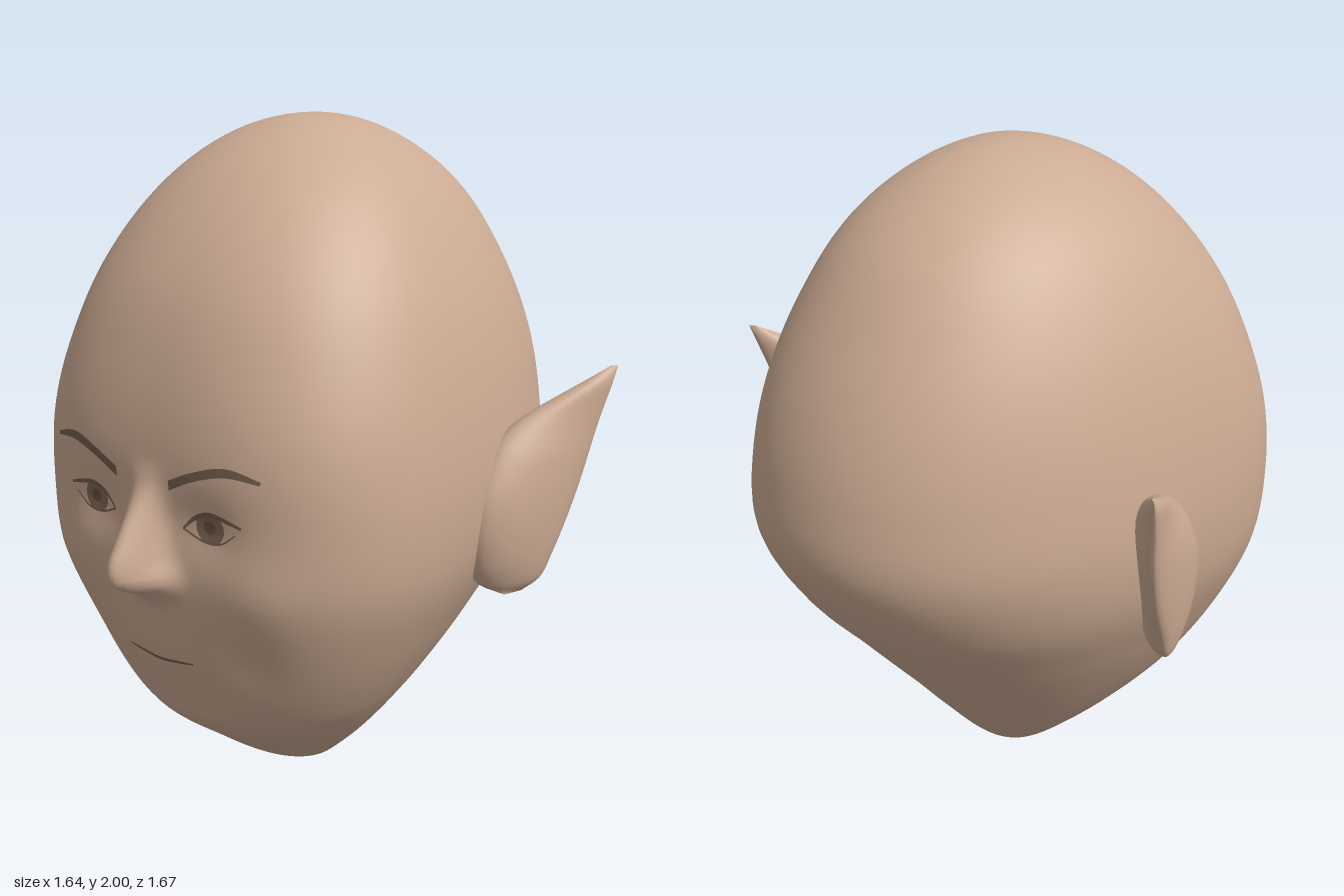
import * as THREE from 'three';
import { mergeVertices } from 'three/addons/utils/BufferGeometryUtils.js';

// Smooth interpolation of one column of a table sorted by its first column
function sample(rows, x, col) {
  const last = rows.length - 1;
  if (x <= rows[0][0]) return rows[0][col];
  if (x >= rows[last][0]) return rows[last][col];
  let i = 0;
  while (x > rows[i + 1][0]) i++;
  const slope = k => {
    const a = rows[Math.max(k - 1, 0)], b = rows[Math.min(k + 1, last)];
    return (b[col] - a[col]) / (b[0] - a[0]);
  };
  const h = rows[i + 1][0] - rows[i][0], t = (x - rows[i][0]) / h, t2 = t * t, t3 = t2 * t;
  return (2 * t3 - 3 * t2 + 1) * rows[i][col] + (t3 - 2 * t2 + t) * h * slope(i)
    + (3 * t2 - 2 * t3) * rows[i + 1][col] + (t3 - t2) * h * slope(i + 1);
}

// Skin a grid of points: rows run top to bottom, columns run counterclockwise
function loft(rows, cols, closed, point, flip = false) {
  const pos = [], idx = [], n = closed ? cols : cols + 1;
  for (let i = 0; i <= rows; i++)
    for (let j = 0; j < n; j++) pos.push(...point(i / rows, j / cols));
  for (let i = 0; i < rows; i++) {
    for (let j = 0; j < cols; j++) {
      const k = (j + 1) % n;
      const a = i * n + j, b = i * n + k, c = a + n, d = b + n;
      idx.push(...(flip ? [a, b, c, b, d, c] : [a, c, b, b, c, d]));
    }
  }
  let g = new THREE.BufferGeometry();
  g.setAttribute('position', new THREE.Float32BufferAttribute(pos, 3));
  g.setIndex(idx);
  g = mergeVertices(g, 1e-5);
  g.computeVertexNormals();
  return g;
}

// Head outline: height, half width, front z, back z, squareness of the face
const arc = y => Math.acos(1 - y);
const HEAD = [
  [0, 0, 0.02, 0.02, 2], [0.03, 0.095, 0.125, -0.085, 2], [0.1, 0.178, 0.25, -0.17, 2.05],
  [0.2, 0.275, 0.385, -0.255, 2.1], [0.3, 0.358, 0.505, -0.335, 2.15], [0.4, 0.43, 0.58, -0.413, 2.25],
  [0.6, 0.543, 0.655, -0.575, 2.45], [0.8, 0.624, 0.687, -0.735, 2.7], [1, 0.648, 0.688, -0.834, 2.85],
  [1.2, 0.634, 0.685, -0.826, 2.75], [1.4, 0.594, 0.645, -0.768, 2.5], [1.6, 0.52, 0.565, -0.662, 2.3],
  [1.8, 0.394, 0.413, -0.505, 2.15], [1.95, 0.205, 0.2, -0.268, 2.05], [2, 0, -0.03, -0.03, 2],
].map(r => [arc(r[0]), ...r.slice(1)]);

function ring(y) {
  const a = arc(y), [w, front, back, n] = [1, 2, 3, 4].map(c => sample(HEAD, a, c));
  const zc = back + (front - back) * 0.6;
  return { w, front, back, n, zc };
}

// Nose ridge: height, projection, spread
const NOSE = [[0.745, 0, 0.06], [0.79, 0.055, 0.064], [0.83, 0.13, 0.064], [0.89, 0.142, 0.058],
  [0.95, 0.11, 0.052], [1, 0.078, 0.048], [1.08, 0.022, 0.048], [1.15, 0, 0.055]];
// Soft swellings and hollows of the face: x, y, spread x, spread y, depth
const FORMS = [[0.08, 0.835, 0.035, 0.04, 0.026], [0.19, 0.99, 0.1, 0.08, -0.018],
  [0.36, 0.82, 0.12, 0.1, 0.012], [0.28, 0.6, 0.1, 0.12, -0.012],
  [0, 0.6, 0.13, 0.06, 0.006], [0, 0.35, 0.16, 0.06, 0.015]];

function relief(x, y) {
  const ax = Math.abs(x);
  let d = sample(NOSE, y, 1) * Math.exp(-((ax / sample(NOSE, y, 2)) ** 2.3));
  for (const [fx, fy, sx, sy, h] of FORMS)
    d += h * Math.exp(-(((ax - fx) / sx) ** 2) - ((y - fy) / sy) ** 2);
  return d;
}

// Depth of the face at x, y
function faceZ(x, y) {
  const r = ring(y);
  const k = Math.max(0, 1 - (Math.abs(x) / r.w) ** r.n) ** (1 / r.n);
  return r.zc + (r.front - r.zc) * k + relief(x, y);
}

function headGeometry() {
  return loft(150, 150, true, (v, u) => {
    const y = 1 + Math.cos(Math.PI * v), r = ring(y);
    const t = (u * 2 - 1) * Math.PI, th = t - 0.7 * Math.sin(t); // denser at the face
    const s = Math.sin(th), c = Math.cos(th), n = c > 0 ? r.n : 2.1;
    const k = (Math.abs(s) ** n + Math.abs(c) ** n) ** (-1 / n);
    const x = r.w * s * k;
    const z = r.zc + (c > 0 ? r.front - r.zc : r.zc - r.back) * c * k;
    return [x, y, z + (c > 0 ? relief(x, y) * Math.min(1, c * 3) : 0)];
  });
}

// Pointed ear: height, root x, root z, rear edge x, rear edge z, thickness
const EAR = [[0.695, 0.67, -0.05, 0.692, -0.11, 0], [0.73, 0.61, 0, 0.722, -0.155, 0.09],
  [0.8, 0.61, 0.035, 0.738, -0.19, 0.125], [0.9, 0.62, 0.053, 0.754, -0.237, 0.135],
  [1, 0.625, 0.04, 0.768, -0.275, 0.135], [1.1, 0.63, -0.015, 0.782, -0.303, 0.125],
  [1.15, 0.635, -0.06, 0.79, -0.315, 0.11], [1.2, 0.668, -0.13, 0.8, -0.327, 0.085],
  [1.28, 0.76, -0.27, 0.815, -0.35, 0.045], [1.325, 0.805, -0.352, 0.822, -0.363, 0]];

function earGeometry(side) {
  return loft(40, 32, true, (v, u) => {
    const y = 1.01 + 0.315 * Math.cos(Math.PI * v);
    const [fx, fz, rx, rz, t] = [1, 2, 3, 4, 5].map(c => sample(EAR, y, c));
    const ax = (rx - fx) / 2, az = (rz - fz) / 2, c = Math.cos(u * Math.PI * 2);
    // Thicker towards the root, fuller on the inner side
    const sine = Math.sin(u * Math.PI * 2), full = sine > 0 ? 0.62 : 0.38;
    const s = sine * full * Math.max(0, t) * (1 - 0.2 * c) / Math.hypot(ax, az);
    return [side * ((fx + rx) / 2 + ax * c + az * s), y, (fz + rz) / 2 + az * c - ax * s];
  }, side < 0);
}

// Painted strip lying on the face: rows of x, upper y, lower y
function strip(rows, side, lift = 0.006) {
  const x0 = rows[0][0], x1 = rows[rows.length - 1][0];
  return loft(4, 28, false, (v, u) => {
    const x = x0 + (x1 - x0) * u;
    const y = THREE.MathUtils.lerp(sample(rows, x, 1), sample(rows, x, 2), v);
    return [side * x, y, faceZ(x, y) + lift];
  }, side < 0);
}

// Painted disc lying on the face, trimmed above by the eyelid
function disc(cx, cy, radius, side, lift) {
  return loft(5, 28, true, (v, u) => {
    const a = u * Math.PI * 2, x = cx + Math.cos(a) * radius * v;
    const y = Math.min(1.035, cy + Math.sin(a) * radius * v);
    return [side * x, y, faceZ(x, y) + lift];
  }, side < 0);
}

const BROW = [[0.095, 1.118, 1.09], [0.17, 1.152, 1.127], [0.25, 1.177, 1.152],
  [0.3, 1.176, 1.155], [0.365, 1.156, 1.146]];
const UPPER_LID = [[0.125, 0.992, 0.984], [0.16, 1.028, 1.014], [0.205, 1.048, 1.034],
  [0.25, 1.044, 1.031], [0.31, 1.026, 1.018]];
const LOWER_LID = [[0.125, 0.99, 0.984], [0.17, 0.97, 0.964], [0.21, 0.964, 0.958],
  [0.25, 0.973, 0.967], [0.29, 1.003, 0.999]];
const MOUTH = [[-0.118, 0.584, 0.579], [-0.06, 0.579, 0.57], [0, 0.573, 0.563],
  [0.06, 0.579, 0.57], [0.118, 0.584, 0.579]];

export function createModel() {
  const material = (name, color) => {
    const m = new THREE.MeshStandardMaterial({ color, side: THREE.DoubleSide });
    m.name = name;
    return m;
  };
  const skin = material('skin', 0xccab93);
  const hair = material('brow brown', 0x755f4e);
  const iris = material('iris brown', 0x7f6856);
  const dark = material('pupil brown', 0x6a5543);

  const model = new THREE.Group();
  model.name = 'head';
  const add = (name, geometry, mat) => {
    const mesh = new THREE.Mesh(geometry, mat);
    mesh.name = name;
    model.add(mesh);
  };

  add('skull', headGeometry(), skin);
  add('mouth', strip(MOUTH, 1), hair);
  for (const [label, side] of [['left', 1], ['right', -1]]) {
    add(label + 'Ear', earGeometry(side), skin);
    add(label + 'Brow', strip(BROW, side, 0.014), hair);
    add(label + 'UpperLid', strip(UPPER_LID, side, 0.008), hair);
    add(label + 'LowerLid', strip(LOWER_LID, side), hair);
    add(label + 'Iris', disc(0.208, 1.002, 0.045, side, 0.005), iris);
    add(label + 'Pupil', disc(0.208, 1.004, 0.019, side, 0.008), dark);
  }
  return model;
}
